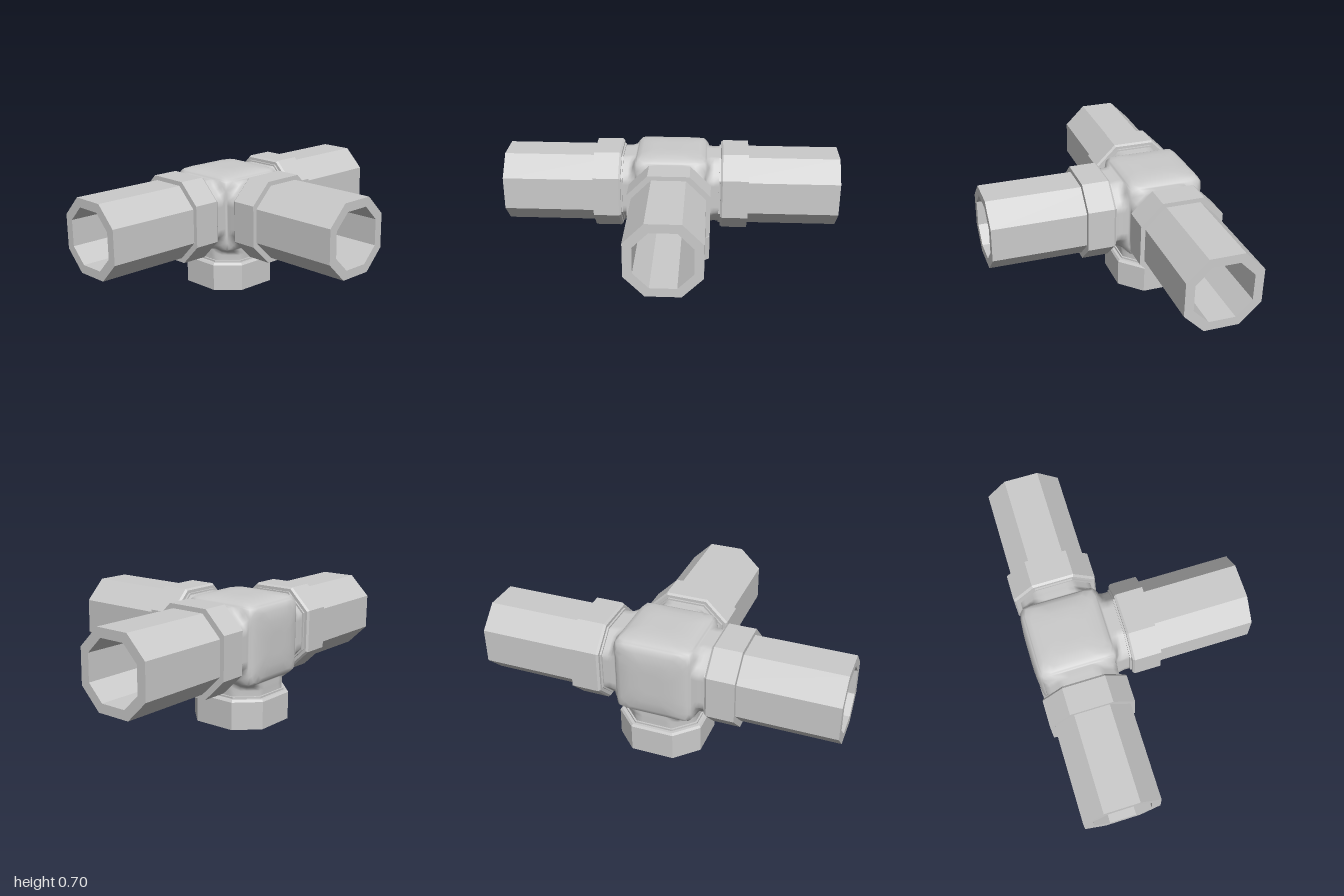
import * as THREE from 'three';
import { mergeGeometries, mergeVertices } from 'three/addons/utils/BufferGeometryUtils.js';

// Angles round one section: octant steps that include the octagon corners and the diagonal
const OCTANT = [0, 9, 18, 26.565, 36];
const ANGLES = [];
for (let k = 0; k < 4; k++) {
  for (const a of OCTANT) ANGLES.push(k * 90 + a);
  ANGLES.push(k * 90 + 45);
  for (const a of OCTANT.slice(1).reverse()) ANGLES.push(k * 90 + 90 - a);
}

// Square of half-width a with cut corners, flats of half-length h, at distance d along z
function softRing(a, h, d) {
  return ANGLES.map((deg) => {
    const t = THREE.MathUtils.degToRad(deg), c = Math.cos(t), s = Math.sin(t);
    const r = Math.min(a / Math.max(Math.abs(c), Math.abs(s)), (a + h) / (Math.abs(c) + Math.abs(s)));
    return new THREE.Vector3(r * c, r * s, d);
  });
}

// Same outline, laid on the face of a rounded cube and raised by a bulge
function cubeRing(a, h, half, radius, bulge = 0) {
  const k = half - radius;
  return softRing(a, h, half).map((p) => {
    const q = p.clone().clampScalar(-k, k);
    const n = p.clone().sub(q).setLength(radius);
    return q.add(n).add(new THREE.Vector3(0, 0, bulge));
  });
}

// Plain eight-cornered section
function octRing(a, d, ratio) {
  const h = a * ratio;
  return [[a, -h], [a, h], [h, a], [-h, a], [-a, h], [-a, -h], [-h, -a], [h, -a]]
    .map(([x, y]) => new THREE.Vector3(x, y, d));
}

// Skin a series of closed rings
function loft(rings) {
  const n = rings[0].length, pos = [], idx = [];
  rings.forEach((ring) => ring.forEach((p) => pos.push(p.x, p.y, p.z)));
  for (let i = 0; i < rings.length - 1; i++) {
    for (let j = 0; j < n; j++) {
      const k = (j + 1) % n;
      const a = i * n + j, b = (i + 1) * n + j, c = (i + 1) * n + k, d = i * n + k;
      idx.push(a, b, c, a, c, d);
    }
  }
  const g = new THREE.BufferGeometry();
  g.setAttribute('position', new THREE.Float32BufferAttribute(pos, 3));
  g.setIndex(idx);
  return g;
}

// Turns that carry +z to each side of the fitting
const TURN = {
  front: [0, 0], left: [0, Math.PI / 2], right: [0, -Math.PI / 2],
  back: [0, Math.PI], top: [-Math.PI / 2, 0], bottom: [Math.PI / 2, 0],
};
const OPEN = ['front', 'left', 'right', 'bottom'];
const CLOSED = ['top', 'back'];

function place(geometry, side) {
  const [rx, ry] = TURN[side];
  return geometry.rotateX(rx).rotateY(ry);
}

function smoothShell(parts) {
  const g = mergeVertices(mergeGeometries(parts), 1e-4);
  g.computeVertexNormals();
  return g;
}

export function createModel() {
  const model = new THREE.Group();
  const fitting = new THREE.Group();
  fitting.name = 'pipeFitting';
  fitting.position.set(0, 0.4625, -0.382);
  model.add(fitting);

  const smooth = new THREE.MeshStandardMaterial({ color: 0xcccccc });
  const flat = new THREE.MeshStandardMaterial({ color: 0xcccccc, flatShading: true });
  const add = (parent, name, geometry, material) => {
    const mesh = new THREE.Mesh(geometry, material);
    mesh.name = name;
    parent.add(mesh);
  };

  // Outer body: rounded cube with four flared necks and two domed closed faces
  const R = 0.222, r = 0.045;
  const outer = [];
  for (const side of OPEN) {
    outer.push(place(loft([
      softRing(0.204, 0.102, 0.3), softRing(0.204, 0.102, 0.255), softRing(0.206, 0.107, 0.236),
      cubeRing(0.211, 0.135, R, r, 0.004), cubeRing(0.215, 0.16, R, r),
      cubeRing(0.219, 0.19, R, r), cubeRing(R, R, R, r),
    ]), side));
  }
  for (const side of CLOSED) {
    outer.push(place(loft([
      cubeRing(0, 0, R, r, 0.016), cubeRing(0.06, 0.03, R, r, 0.016),
      cubeRing(0.12, 0.07, R, r, 0.016), cubeRing(0.175, 0.13, R, r, 0.009),
      cubeRing(0.205, 0.17, R, r, 0.004), cubeRing(0.215, 0.195, R, r), cubeRing(R, R, R, r),
    ]), side));
  }
  add(fitting, 'body', smoothShell(outer), smooth);

  // Hollow chamber and bores inside the body
  const C = 0.18, cr = 0.03;
  const inner = [];
  for (const side of OPEN) {
    const bore = side === 'bottom' ? 0.178 : 0.16;
    inner.push(place(loft([
      cubeRing(C, C, C, cr), cubeRing(0.179, 0.14, C, cr),
      softRing(bore, bore / 2, 0.178), softRing(bore, bore / 2, 0.3),
    ]), side));
  }
  for (const side of CLOSED) {
    inner.push(place(loft([
      cubeRing(C, C, C, cr), cubeRing(0.165, 0.15, C, cr),
      cubeRing(0.14, 0.1, C, cr), cubeRing(0, 0, C, cr),
    ]), side));
  }
  add(fitting, 'chamber', smoothShell(inner), smooth);

  // Collars on every opening, with pipes in all but the bottom one
  for (const side of OPEN) {
    const empty = side === 'bottom';
    const branch = new THREE.Group();
    branch.name = side + 'Branch';
    branch.rotation.set(TURN[side][0], TURN[side][1], 0);
    fitting.add(branch);

    const hole = empty ? 0.19 : 0.208;
    const end = empty ? 0.4625 : 0.46;
    const collar = [
      [empty ? 0.178 : 0.16, 0.3], [hole, 0.3], [hole, end], [0.238, end], [0.238, 0.308],
      [0.229, 0.296], [0.213, 0.296], [0.213, 0.286], [0.2, 0.286],
    ];
    add(branch, 'collar', loft(collar.map(([a, d]) => octRing(a, d, 0.5))), flat);

    if (!empty) {
      const pipe = [[0.162, 0.3], [0.162, 1], [0.213, 1], [0.213, 0.3], [0.162, 0.3]];
      add(branch, 'pipe', loft(pipe.map(([a, d]) => octRing(a, d, 0.46))), flat);
    }
  }
  // Flat-shaded parts still carry normals
  model.traverse((o) => { if (o.isMesh && !o.geometry.attributes.normal) o.geometry.computeVertexNormals(); });
  return model;
}
